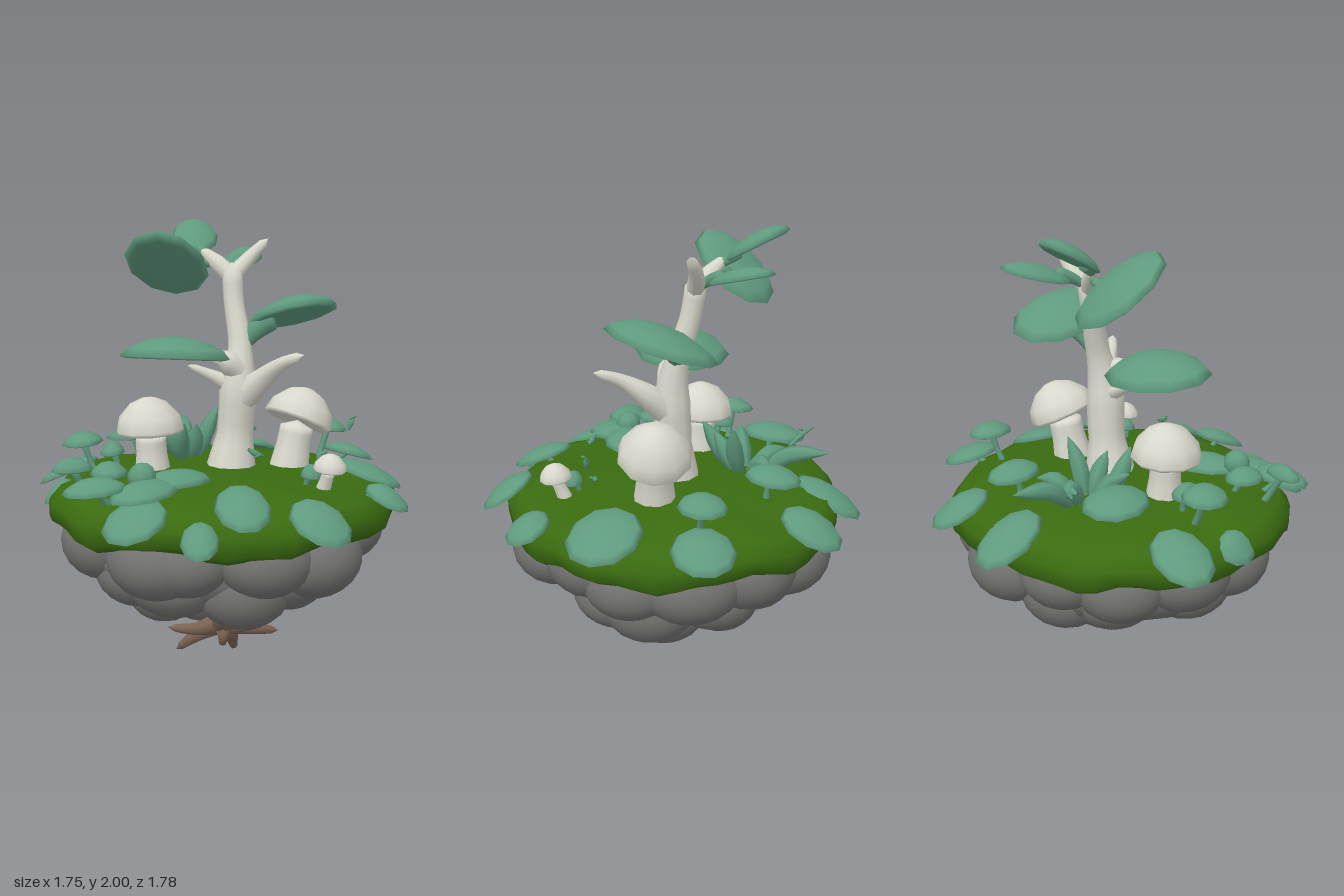
import * as THREE from 'three';
import { mergeVertices } from 'three/addons/utils/BufferGeometryUtils.js';

const mat = (name, color, side = THREE.FrontSide) => {
  const m = new THREE.MeshStandardMaterial({ color, side });
  m.name = name;
  return m;
};

export function createModel() {
  const root = new THREE.Group();
  root.name = 'floatingIsland';
  const white = mat('pale bark', 0xd8d8cc);
  const green = mat('leaf green', 0x5f9a7e, THREE.DoubleSide);
  const grassMat = mat('grass green', 0x3a6b10);
  const grey = mat('rock grey', 0x737372);
  const brown = mat('root brown', 0x7d6554);

  let seed = 7;
  const rnd = () => (seed = (seed * 16807) % 2147483647) / 2147483647;
  const V = (p) => new THREE.Vector3(...p);

  const add = (name, geo, material, parent = root) => {
    const m = new THREE.Mesh(geo, material);
    m.name = name;
    parent.add(m);
    return m;
  };

  // Moves each vertex by a rule, then welds and smooths
  const reshape = (geo, rule) => {
    const p = geo.attributes.position, v = new THREE.Vector3();
    for (let i = 0; i < p.count; i++) {
      rule(v.fromBufferAttribute(p, i), i);
      p.setXYZ(i, v.x, v.y, v.z);
    }
    geo.deleteAttribute('normal');
    geo.deleteAttribute('uv');
    const g = mergeVertices(geo, 1e-5);
    g.computeVertexNormals();
    return g;
  };

  // Tapered tube through points, radii spread evenly along it, closed tip
  const limb = (name, pts, radii, material, sides = 8, parent = root) => {
    const curve = new THREE.CatmullRomCurve3(pts.map(V));
    const seg = (pts.length - 1) * 4;
    const geo = new THREE.TubeGeometry(curve, seg, 1, sides);
    const shaped = reshape(geo, (v, i) => {
      const k = Math.floor(i / (sides + 1));
      const t = (k / seg) * (radii.length - 1);
      const a = Math.min(Math.floor(t), radii.length - 2);
      const r = k === seg ? 0.001 : THREE.MathUtils.lerp(radii[a], radii[a + 1], t - a);
      const c = curve.getPointAt(k / seg);
      v.sub(c).multiplyScalar(r).add(c);
    });
    return add(name, shaped, material, parent);
  };

  // Flattened rounded leaf: plan ellipse rx by rz, sloping by fx and fz
  const leaf = (name, [cx, cy, cz], rx, rz, fx, fz, turn = 0, thick = 0.025, droop = 0.03) => {
    const geo = new THREE.SphereGeometry(1, 10, 6);
    const c = Math.cos(turn), s = Math.sin(turn);
    return add(name, reshape(geo, (v) => {
      const d = v.x * v.x + v.z * v.z;
      const x = v.x * rx, z = v.z * rz;
      const X = x * c + z * s, Z = -x * s + z * c;
      v.set(cx + X, cy + v.y * thick + fx * X + fz * Z + droop * (0.5 - d), cz + Z);
    }), green);
  };

  // Rock: rows of overlapping boulders round a core, hollowed where the roots sit
  const rock = new THREE.Group();
  rock.name = 'rock';
  root.add(rock);
  const boulder = (x, y, z, sx, sy, sz, turn) => {
    const m = add('boulder', new THREE.IcosahedronGeometry(1, 3), grey, rock);
    m.position.set(x, y, z);
    m.scale.set(sx, sy, sz);
    m.rotation.y = turn;
  };
  boulder(0, 0.46, 0, 0.68, 0.27, 0.67, 0);
  for (const [y, R, n, size] of [[0.54, 0.585, 13, 0.205], [0.41, 0.485, 11, 0.2],
    [0.3, 0.33, 9, 0.18], [0.235, 0.17, 5, 0.16], [0.22, 0.04, 1, 0.14]]) {
    for (let i = 0; i < n; i++) {
      const a = ((i + y * 9 + (rnd() - 0.5) * 0.6) / n) * Math.PI * 2;
      const s = size * (0.9 + rnd() * 0.18);
      const nearRoots = y < 0.35 && Math.sin(a) > 0.8;
      const r = nearRoots ? R * 0.72 : R;
      boulder(r * Math.cos(a), y + (rnd() - 0.5) * 0.08 + (nearRoots ? 0.03 : 0), r * Math.sin(a),
        s, s * (0.8 + rnd() * 0.15), s * 1.1, -a);
    }
  }

  // Grass cap with a wavy hanging rim
  const profile = [[0.5, 0.66], [0.77, 0.585], [0.825, 0.625], [0.825, 0.7], [0.775, 0.755],
    [0.66, 0.79], [0.4, 0.815], [0, 0.83]].map((p) => new THREE.Vector2(...p));
  add('grass', reshape(new THREE.LatheGeometry(profile, 56), (v) => {
    const a = Math.atan2(v.z, v.x), r = Math.hypot(v.x, v.z);
    const k = 1 + r * (0.016 * Math.sin(5 * a + 1) + 0.012 * Math.sin(11 * a));
    v.x *= k;
    v.z *= k * 0.965;
    if (r > 0.6) v.y += (v.y < 0.66 ? 0.018 : 0.008) * (Math.sin(7 * a) + 0.6 * Math.sin(16 * a + 2));
  }), grassMat);

  // Tree trunk and branches
  limb('trunk', [[0.045, 0.77, -0.015], [0.07, 1, -0.02], [0.085, 1.23, -0.015], [0.095, 1.42, -0.05],
    [0.075, 1.6, -0.1], [0.07, 1.79, -0.13]], [0.13, 0.088, 0.092, 0.058, 0.05, 0.05], white, 10);
  limb('lowerBranch', [[0.08, 1.13, -0.01], [0.18, 1.25, 0.08], [0.25, 1.33, 0.18], [0.335, 1.38, 0.27]],
    [0.075, 0.06, 0.035, 0.02], white);
  limb('stubBranch', [[0.07, 1.2, -0.02], [-0.05, 1.26, -0.02], [-0.16, 1.31, -0.02]], [0.05, 0.03, 0.014], white);
  limb('leafBranch', [[0.08, 1.28, 0], [0.02, 1.33, 0.02], [-0.05, 1.36, 0.02]], [0.06, 0.055, 0.02], white);
  limb('upperLeftBranch', [[0.07, 1.72, -0.12], [0, 1.79, -0.17], [-0.07, 1.85, -0.22]], [0.045, 0.04, 0.02], white);
  limb('upperRightBranch', [[0.07, 1.72, -0.12], [0.15, 1.8, -0.15], [0.25, 1.9, -0.15]], [0.045, 0.035, 0.02], white);

  // Tree leaves and their stalks
  leaf('lowerLeftLeaf', [-0.22, 1.38, 0.03], 0.265, 0.225, -0.05, 0.1, 0, 0.045, 0.06);
  leaf('lowerRightLeaf', [0.355, 1.56, -0.055], 0.215, 0.25, 0.14, 0.28, 0, 0.042, 0.05);
  leaf('upperLeftLeaf', [-0.235, 1.79, -0.22], 0.205, 0.185, -0.25, 0.74, 0, 0.05);
  leaf('topLeaf', [-0.08, 1.925, -0.36], 0.115, 0.145, 0.05, -0.53, 0, 0.035);
  leaf('upperRightLeaf', [0.16, 1.815, -0.35], 0.1, 0.165, 0.15, -0.22, -0.35, 0.025);
  limb('lowerRightStalk', [[0.1, 1.38, -0.05], [0.16, 1.46, -0.05], [0.26, 1.54, -0.06]], [0.03, 0.05, 0.07], green);
  limb('upperLeftStalk', [[-0.02, 1.79, -0.18], [-0.07, 1.78, -0.2], [-0.13, 1.77, -0.22]], [0.02, 0.025, 0.03], green);
  limb('topStalk', [[-0.03, 1.82, -0.19], [-0.06, 1.84, -0.23], [-0.08, 1.88, -0.29]], [0.02, 0.025, 0.03], green);
  limb('upperRightStalk', [[0.08, 1.74, -0.14], [0.1, 1.78, -0.2], [0.13, 1.81, -0.27]], [0.02, 0.025, 0.03], green);

  // Mushrooms: leaning stem with a domed cap
  const mushroom = (name, base, top, R, stemR, tilt) => {
    const g = new THREE.Group();
    g.name = name;
    root.add(g);
    const mid = base.map((b, i) => (b + top[i]) / 2);
    limb('stem', [base, mid, top], [stemR * 1.2, stemR, stemR * 0.95], white, 9, g);
    const pts = [[0, 0.12], [0.55, 0.06], [0.93, -0.06], [1, 0.04], [0.9, 0.42], [0.55, 0.8], [0.2, 0.95], [0, 0.97]];
    const geo = new THREE.LatheGeometry(pts.map(([x, y]) => new THREE.Vector2(x * R, y * R)), 10);
    const cap = add('cap', reshape(geo, () => {}), white, g);
    cap.position.set(...top);
    cap.quaternion.setFromUnitVectors(new THREE.Vector3(0, 1, 0), V(tilt).normalize());
  };
  mushroom('leftMushroom', [-0.33, 0.78, -0.03], [-0.34, 1.0, -0.03], 0.165, 0.075, [-0.05, 1, 0]);
  mushroom('rightMushroom', [0.33, 0.78, -0.01], [0.38, 1.03, -0.03], 0.17, 0.085, [0.42, 1, -0.22]);
  mushroom('smallMushroom', [0.4, 0.78, 0.4], [0.42, 0.885, 0.435], 0.075, 0.03, [0.05, 1, 0.1]);

  // Ground leaves: x, y, z, rx, rz, outward fall, turn
  const groundLeaves = [
    [-0.08, 0.75, -0.74, 0.13, 0.16, 0.5], [0.3, 0.76, -0.73, 0.125, 0.14, 0.45],
    [0.16, 0.92, -0.52, 0.11, 0.13, 0.1], [0.73, 0.8, -0.36, 0.14, 0.14, 0.3],
    [0.61, 0.945, -0.32, 0.1, 0.11, 0.1], [0.7, 0.79, 0.09, 0.17, 0.17, 0.35],
    [0.68, 0.76, 0.46, 0.1, 0.1, 0.45], [0.3, 0.745, 0.75, 0.135, 0.12, 0.6],
    [-0.02, 0.81, 0.71, 0.12, 0.15, 0.4], [-0.21, 0.7, 0.79, 0.08, 0.1, 0.5],
    [-0.46, 0.75, 0.63, 0.14, 0.14, 0.45], [-0.73, 0.76, -0.33, 0.15, 0.13, 0.45],
    [-0.66, 0.945, -0.12, 0.1, 0.11, 0.1], [-0.52, 0.9, -0.08, 0.06, 0.08, 0.1],
    [-0.4, 0.92, -0.4, 0.14, 0.16, 0.1], [-0.78, 0.72, -0.04, 0.07, 0.1, 0.7],
    [-0.26, 0.845, 0.34, 0.18, 0.12, 0, 0.45], [-0.62, 0.85, 0.47, 0.14, 0.1, 0.1],
    [-0.55, 0.88, 0.28, 0.085, 0.1, 0], [-0.71, 0.92, 0.36, 0.09, 0.05, 0.05],
    [-0.41, 0.83, 0.48, 0.17, 0.12, 0.1, 0.6], [0.35, 0.86, 0.38, 0.05, 0.045, 0.1]];
  for (const [x, y, z, rx, rz, fall, turn = 0] of groundLeaves) {
    const r = Math.hypot(x, z);
    leaf('groundLeaf', [x, y, z], rx, rz, (-fall * x) / r, (-fall * z) / r, turn, 0.028);
    const b = r > 0.6 ? 0.88 : 0.94;
    limb('leafStalk', [[x * b, 0.74, z * b], [x * 0.95, (y + 0.75) / 2, z * 0.95], [x, y, z]], [0.02, 0.014, 0.02], green, 6);
  }
  const bud = add('bud', new THREE.SphereGeometry(0.065, 9, 7), green);
  bud.position.set(-0.41, 0.87, 0.39);

  // Clump of broad arching blades behind the trunk: base, middle, tip
  const blades = [
    [[-0.09, -0.3], [-0.03, 0.95, -0.29], [0.03, 1.07, -0.3]],
    [[-0.16, -0.24], [-0.18, 0.93, -0.15], [-0.17, 1.02, -0.09]],
    [[-0.16, -0.32], [-0.24, 0.92, -0.27], [-0.32, 0.97, -0.24]],
    [[-0.12, -0.36], [-0.14, 0.9, -0.43], [-0.2, 0.92, -0.5]],
    [[-0.07, -0.36], [-0.02, 0.9, -0.42], [0.04, 0.91, -0.48]],
    [[-0.11, -0.28], [-0.1, 0.92, -0.22], [-0.1, 1.0, -0.17]],
    [[-0.11, -0.4], [-0.12, 0.91, -0.53], [-0.11, 0.95, -0.73]]];
  for (const [[x, z], middle, tip] of blades) {
    limb('blade', [[x, 0.79, z], middle, tip], [0.02, 0.045, 0.04, 0.004], green, 6);
  }

  // Thin sprigs with small leaves
  for (const [x, y, z, dx, dy, dz] of [[0.56, 1.02, 0.22, 0.04, 0.06, -0.02], [0.06, 0.98, 0.39, 0.07, -0.03, 0],
    [-0.22, 0.92, -0.52, -0.14, 0.06, -0.09], [0.41, 0.9, 0.25, 0.05, 0.02, -0.03]]) {
    limb('sprig', [[x, y, z], [x + dx / 2, y + dy * 0.7, z + dz / 2], [x + dx, y + dy, z + dz]], [0.008, 0.016, 0.003], green, 5);
    leaf('sprigLeaf', [x + dx * 0.6, y + dy, z + dz * 0.5 + 0.01], 0.02, 0.012, 0.4, 0.3, 0, 0.006, 0);
  }

  // Roots curling out from a hub on the lower front of the rock
  const hub = [-0.06, 0.18, 0.38];
  for (const [x, y, z] of [[-0.26, 0.04, 0.33], [0.02, 0.0, 0.27], [0.2, 0.13, 0.4], [0.17, 0.22, 0.46],
    [-0.31, 0.2, 0.46], [-0.11, 0.33, 0.5], [-0.06, 0.08, 0.42], [0.0, 0.32, 0.5]]) {
    limb('root', [hub, [hub[0] + (x - hub[0]) * 0.5, hub[1] + (y - hub[1]) * 0.3, hub[2] + (z - hub[2]) * 0.5 + 0.04],
      [x, y, z]], [0.055, 0.03, 0.014], brown, 7);
  }
  // Root that creeps along the underside
  limb('undersideRoot', [[-0.06, 0.14, 0.36], [0, 0.1, 0.2], [0.02, 0.085, 0.03]], [0.04, 0.035, 0.02], brown, 7);
  return root;
}
